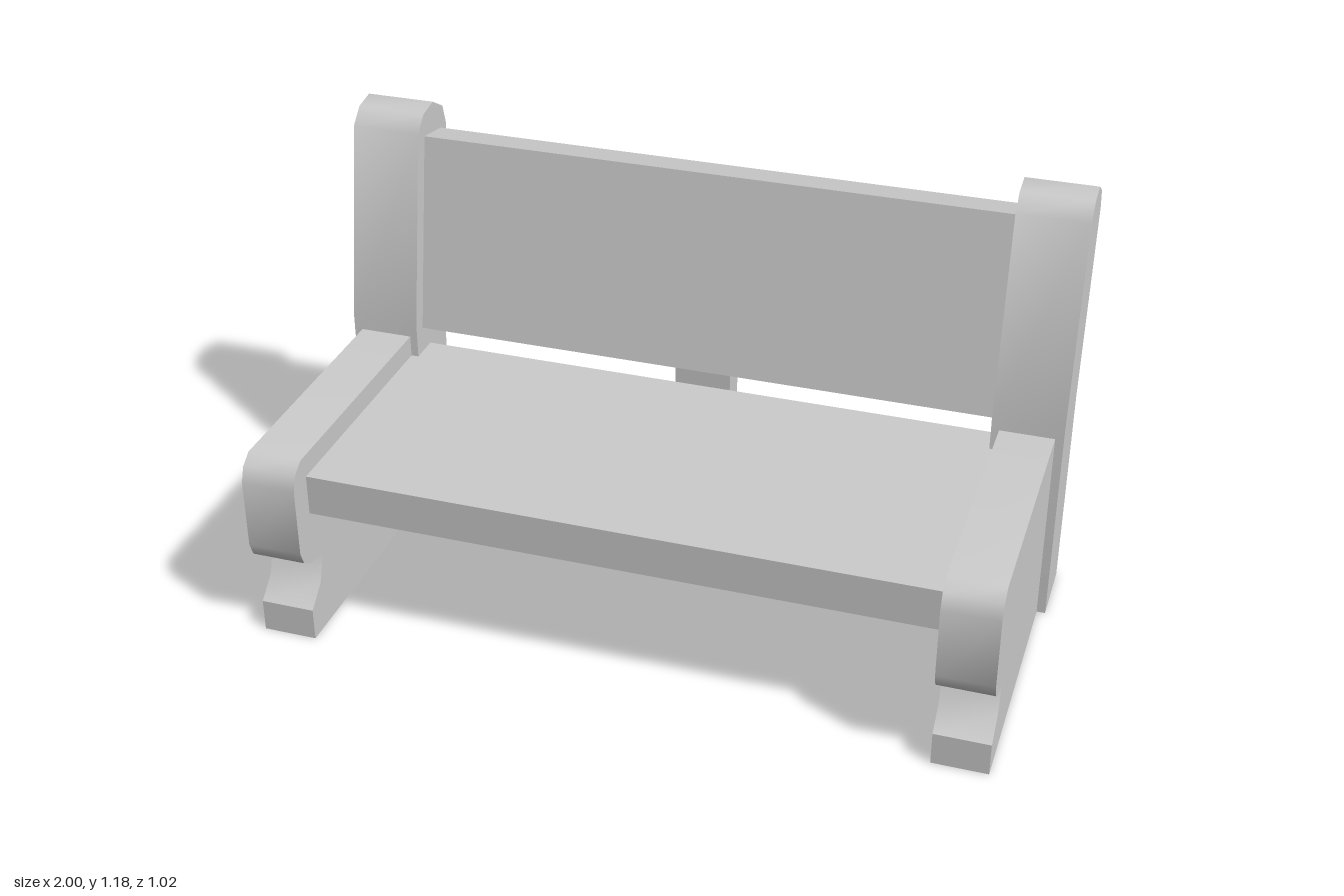
import * as THREE from 'three';
import { toCreasedNormals } from 'three/addons/utils/BufferGeometryUtils.js';

const material = new THREE.MeshStandardMaterial({ color: 0xcccccc });

// Side profile of [z, y] points, extruded along x and centred on the given x
function profileMesh(name, points, width, x = 0) {
  const shape = new THREE.Shape(points.map(([z, y]) => new THREE.Vector2(z, y)));
  const extruded = new THREE.ExtrudeGeometry(shape, { depth: width, bevelEnabled: false });
  extruded.translate(0, 0, -width / 2).rotateY(-Math.PI / 2);
  const mesh = new THREE.Mesh(toCreasedNormals(extruded, 0.7), material);
  mesh.name = name;
  mesh.position.x = x;
  return mesh;
}

// Box given by its width and its y and z ranges, centred on x = 0
function boxMesh(name, width, [y0, y1], [z0, z1]) {
  const mesh = new THREE.Mesh(new THREE.BoxGeometry(width, y1 - y0, z1 - z0), material);
  mesh.name = name;
  mesh.position.set(0, (y0 + y1) / 2, (z0 + z1) / 2);
  return mesh;
}

// Low side panel with a rounded arm front and a notched foot
const panelProfile = [
  [-0.3, 0], [0.477, 0], [0.477, 0.09], [0.42, 0.14], [0.39, 0.22],
  [0.462, 0.232], [0.495, 0.254], [0.51, 0.292],
  [0.51, 0.482], [0.495, 0.522], [0.46, 0.547], [-0.3, 0.547],
];

// Rear post, leaning back above the seat, with a rounded top
const postProfile = [
  [-0.425, 0], [-0.23, 0], [-0.23, 0.585], [-0.322, 1.123],
  [-0.365, 1.165], [-0.43, 1.176], [-0.492, 1.14], [-0.509, 1.083], [-0.425, 0.57],
];

// Leaning backrest board
const backrestProfile = [[-0.38, 0.539], [-0.27, 0.558], [-0.362, 1.102], [-0.472, 1.083]];

export function createModel() {
  const bench = new THREE.Group();
  bench.name = 'bench';

  for (const [side, sign] of [['left', 1], ['right', -1]]) {
    bench.add(profileMesh(`${side}SidePanel`, panelProfile, 0.146, sign * 0.904));
    bench.add(profileMesh(`${side}RearPost`, postProfile, 0.19, sign * 0.905));
  }

  bench.add(boxMesh('seat', 1.68, [0.375, 0.487], [-0.315, 0.44]));
  bench.add(profileMesh('backrest', backrestProfile, 1.64));

  // Small block joining the seat's rear edge to the backrest
  bench.add(boxMesh('centreBlock', 0.156, [0.425, 0.552], [-0.39, -0.315]));

  return bench;
}
